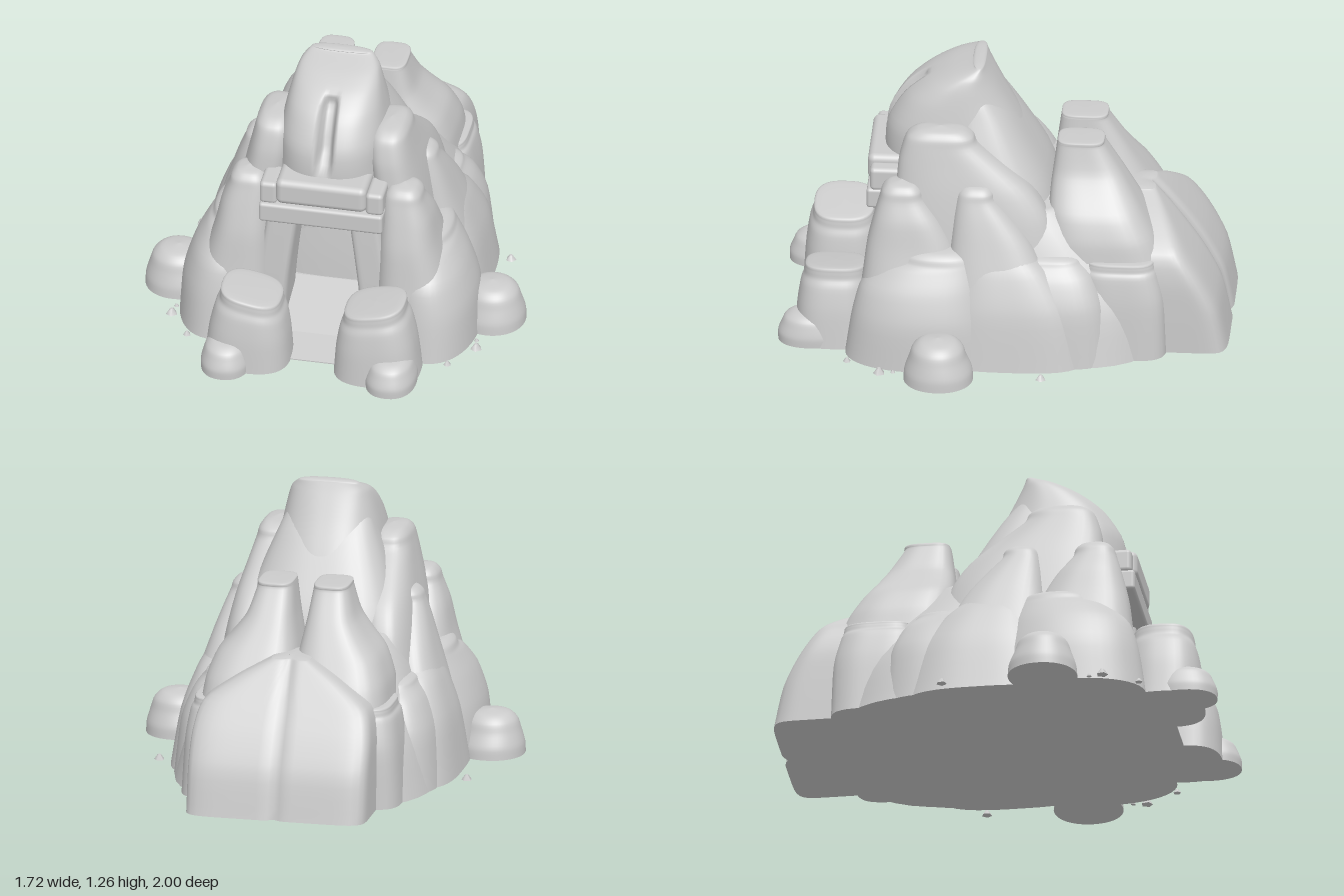
import * as THREE from 'three';
import { RoundedBoxGeometry } from 'three/addons/geometries/RoundedBoxGeometry.js';

const stone = new THREE.MeshStandardMaterial({ color: 0xcccccc, roughness: 0.9 });

// Crown profiles as [inset scale, share of cap height]
const DOME = [[0.88, 0.5], [0.6, 0.85], [0.02, 1]];
const FLAT = [[0.97, 0.55], [0.88, 0.93], [0.02, 1]];

// Rock lofted smoothly through rows of [y, x0, x1, z0, z1] and closed by a crown of height cap.
// n sets how square the section is, tilt makes the crown slope along x.
function rockGeometry(rows, { n = 3, segs = 48, tilt = 0, cap = 0.03, crown = DOME, warp } = {}) {
  const [ly, lx0, lx1, lz0, lz1] = rows[rows.length - 1];
  const lx = (lx0 + lx1) / 2, lz = (lz0 + lz1) / 2, top = ly + cap;
  const all = rows.concat(crown.map(([s, h]) => [ly + cap * h,
    lx + (lx0 - lx) * s, lx + (lx1 - lx) * s, lz + (lz0 - lz) * s, lz + (lz1 - lz) * s]));
  const curve = (xi, zi) => new THREE.CatmullRomCurve3(
    all.map((r) => new THREE.Vector3(r[xi], r[0], r[zi])), false, 'catmullrom', 0.4);
  const low = curve(1, 3), high = curve(2, 4);
  const steps = (all.length - 1) * 4;
  const pos = [], idx = [];
  const put = (x, y, z, cx) => {
    const p = new THREE.Vector3(x, y + tilt * (x - cx) * (y / top), z);
    if (warp) warp(p);
    pos.push(p.x, p.y, p.z);
  };
  const ring = (step) => {
    const a = low.getPoint(step / steps), b = high.getPoint(step / steps);
    const cx = (a.x + b.x) / 2, cz = (a.z + b.z) / 2;
    for (let i = 0; i < segs; i++) {
      const t = (i / segs) * Math.PI * 2, c = Math.cos(t), s = Math.sin(t);
      const r = (Math.abs(c) ** n + Math.abs(s) ** n) ** (-1 / n);
      put(cx + (b.x - cx) * r * c, a.y, cz + (b.z - cz) * r * s, cx);
    }
  };
  for (let j = 0; j <= steps; j++) ring(j);
  for (let j = 0; j < steps; j++) {
    for (let i = 0; i < segs; i++) {
      const a = j * segs + i, b = j * segs + (i + 1) % segs;
      idx.push(a, a + segs, b, b, a + segs, b + segs);
    }
  }
  // top fan, then a separate flat underside
  const tip = (steps + 1) * segs, base = tip + 1, under = base + segs;
  const [by, bx0, bx1, bz0, bz1] = rows[0];
  put(lx, top, lz, lx);
  ring(0);
  put((bx0 + bx1) / 2, by, (bz0 + bz1) / 2, (bx0 + bx1) / 2);
  for (let i = 0; i < segs; i++) {
    const k = (i + 1) % segs;
    idx.push(tip - segs + i, tip, tip - segs + k, base + i, base + k, under);
  }
  const g = new THREE.BufferGeometry();
  g.setAttribute('position', new THREE.Float32BufferAttribute(pos, 3));
  g.setIndex(idx);
  g.computeVertexNormals();
  return g;
}

export function createModel() {
  const model = new THREE.Group();
  model.name = 'rockyMineEntrance';
  const add = (name, geometry) => {
    const mesh = new THREE.Mesh(geometry, stone);
    mesh.name = name;
    model.add(mesh);
    return mesh;
  };
  const rock = (name, rows, opts) => add(name, rockGeometry(rows, opts));
  const pair = (name, rows, opts = {}) => {
    rock(name + 'Left', rows, opts);
    rock(name + 'Right', rows.map(([y, a, b, c, d]) => [y, -b, -a, c, d]), { ...opts, tilt: -(opts.tilt || 0) });
  };

  // Mountain core, whose front is the back wall of the entrance
  rock('mountainCore', [
    [0, -0.59, 0.59, -0.75, 0.3], [0.25, -0.53, 0.53, -0.7, 0.29], [0.5, -0.43, 0.43, -0.5, 0.27],
    [0.64, -0.36, 0.36, -0.34, 0.25]], { n: 2.8 });

  // Broad back slope of the peak
  rock('peakBack', [
    [0.3, -0.44, 0.44, -0.27, 0.28], [0.55, -0.39, 0.39, -0.24, 0.28], [0.72, -0.34, 0.34, -0.19, 0.28],
    [0.9, -0.275, 0.275, -0.09, 0.28], [1.02, -0.225, 0.225, -0.015, 0.26], [1.1, -0.19, 0.19, 0.05, 0.24]], { n: 3 });

  // Leaning peak with a vertical cleft down its front
  rock('peak', [
    [0.6, -0.3, 0.3, -0.2, 0.5], [0.8, -0.25, 0.25, -0.13, 0.545], [0.95, -0.24, 0.24, -0.06, 0.535],
    [1.08, -0.215, 0.215, 0.01, 0.46], [1.16, -0.195, 0.195, 0.052, 0.365], [1.21, -0.175, 0.175, 0.078, 0.265],
    [1.245, -0.14, 0.14, 0.095, 0.16]], {
    n: 2.6, segs: 128, cap: 0.015,
    warp: (p) => {
      if (p.z < 0.2) return;
      const span = THREE.MathUtils.smoothstep(p.y, 0.82, 0.95) * (1 - THREE.MathUtils.smoothstep(p.y, 1.1, 1.17));
      p.z -= 0.08 * span * Math.exp(-((p.x / 0.033) ** 6));
    },
  });

  // Rocks stepping down both sides
  pair('shoulder', [
    [0.3, 0.22, 0.48, -0.27, 0.48], [0.6, 0.2, 0.43, -0.21, 0.49], [0.75, 0.18, 0.4, -0.12, 0.48],
    [0.87, 0.17, 0.37, 0.02, 0.47], [0.95, 0.17, 0.35, 0.12, 0.45]], { cap: 0.08 });
  pair('doorwayPillar', [
    [0, 0.23, 0.62, 0.15, 0.68], [0.3, 0.23, 0.56, 0.17, 0.63], [0.5, 0.24, 0.505, 0.21, 0.605],
    [0.63, 0.25, 0.475, 0.28, 0.575], [0.72, 0.26, 0.44, 0.35, 0.55]], { cap: 0.08 });
  pair('middleRidge', [
    [0, 0.3, 0.63, -0.33, 0.28], [0.3, 0.3, 0.58, -0.24, 0.25], [0.53, 0.28, 0.51, -0.13, 0.23],
    [0.65, 0.26, 0.47, -0.04, 0.22], [0.73, 0.25, 0.44, 0.03, 0.21]], { cap: 0.07 });
  pair('frontFlank', [
    [0, 0.28, 0.675, 0, 0.695], [0.2, 0.28, 0.66, 0.04, 0.665], [0.34, 0.3, 0.615, 0.07, 0.625],
    [0.43, 0.32, 0.565, 0.09, 0.54], [0.46, 0.33, 0.545, 0.1, 0.47]], { n: 2.2, cap: 0.06 });
  pair('middleFlank', [
    [0, 0.3, 0.65, -0.38, 0.3], [0.25, 0.3, 0.61, -0.32, 0.24], [0.41, 0.3, 0.555, -0.22, 0.19],
    [0.48, 0.3, 0.52, -0.15, 0.15]], { cap: 0.06 });
  pair('rearFlank', [
    [0, 0.25, 0.605, -0.49, 0.1], [0.25, 0.25, 0.575, -0.46, 0.05], [0.38, 0.25, 0.525, -0.41, 0],
    [0.44, 0.25, 0.48, -0.36, -0.04]], { cap: 0.045 });
  pair('rearCorner', [
    [0, 0.2, 0.5, -0.73, -0.35], [0.25, 0.2, 0.485, -0.72, -0.35], [0.38, 0.2, 0.465, -0.69, -0.35],
    [0.41, 0.2, 0.45, -0.68, -0.36]], { n: 3.6, crown: FLAT, cap: 0.04 });

  // Twin flat-topped towers and the sloping slab behind them
  pair('rearTower', [
    [0.44, -0.02, 0.42, -0.71, -0.19], [0.53, -0.01, 0.405, -0.67, -0.195], [0.63, 0, 0.365, -0.61, -0.195],
    [0.71, 0.015, 0.3, -0.56, -0.2], [0.79, 0.03, 0.245, -0.51, -0.21], [0.9, 0.045, 0.21, -0.44, -0.225]],
  { n: 3.6, cap: 0.03, crown: FLAT });
  rock('backSlab', [
    [0, -0.41, 0.41, -1, -0.5], [0.2, -0.41, 0.41, -0.955, -0.5], [0.35, -0.405, 0.405, -0.88, -0.48],
    [0.47, -0.37, 0.37, -0.8, -0.46], [0.57, -0.23, 0.23, -0.725, -0.45], [0.64, -0.1, 0.1, -0.665, -0.45]], {
    n: 9, segs: 96, cap: 0.015,
    warp: (p) => {
      if (p.z < -0.6) p.z += 0.02 * Math.exp(-((p.x / 0.025) ** 2));
    },
  });

  // Loose boulders around the foot
  pair('frontBoulder', [
    [0, 0.1, 0.485, 0.58, 0.93], [0.15, 0.11, 0.465, 0.59, 0.92], [0.25, 0.125, 0.44, 0.6, 0.905],
    [0.29, 0.14, 0.42, 0.61, 0.89]], { n: 2.8, tilt: 0.2, cap: 0.055, crown: FLAT });
  pair('frontCobble', [
    [0, 0.26, 0.485, 0.7, 1], [0.04, 0.26, 0.485, 0.7, 1], [0.08, 0.27, 0.475, 0.71, 0.985]],
  { n: 2.3, cap: 0.065 });
  pair('sideBoulder', [
    [0, 0.56, 0.86, 0.11, 0.42], [0.05, 0.56, 0.857, 0.115, 0.415], [0.11, 0.58, 0.84, 0.14, 0.395]],
  { n: 2.1, cap: 0.09 });
  for (const side of [-1, 1]) {
    for (const [x, z, r] of [[0.7, -0.19, 0.024], [0.69, 0.53, 0.027], [0.59, 0.68, 0.018], [0.68, 0.47, 0.012]]) {
      const pebble = add('pebble', new THREE.CylinderGeometry(r * 0.3, r, r, 5));
      pebble.position.set(side * x, r / 2, z);
      pebble.rotation.y = x * 9 + z * 5;
    }
  }

  // Sloping entrance floor
  const ramp = new THREE.Shape([[-0.2, 0], [-0.2, 0.13], [-0.3, 0.13], [-0.6, 0.03], [-0.78, 0.005], [-0.78, 0]]
    .map(([a, b]) => new THREE.Vector2(a, b)));
  const floor = add('entranceFloor', new THREE.ExtrudeGeometry(ramp, { depth: 0.5, bevelEnabled: false }));
  floor.rotation.y = Math.PI / 2;
  floor.position.x = -0.25;

  // Door frame: leaning posts, lintel, and a log held between brackets
  pair('doorPost', [[0, 0.18, 0.34, 0.3, 0.57], [0.3, 0.155, 0.3, 0.3, 0.57], [0.62, 0.115, 0.255, 0.3, 0.56]],
    { n: 9, cap: 0.01, crown: FLAT });
  const beam = (name, w, h, d, r, x, y, z) =>
    add(name, new RoundedBoxGeometry(w, h, d, 4, r)).position.set(x, y, z);
  beam('lintel', 0.56, 0.095, 0.2, 0.015, 0, 0.655, 0.515);
  beam('lintelLog', 0.41, 0.125, 0.2, 0.03, 0, 0.77, 0.515);
  for (const side of [-1, 1]) beam('logBracket', 0.08, 0.11, 0.16, 0.02, side * 0.24, 0.75, 0.52);
  return model;
}
